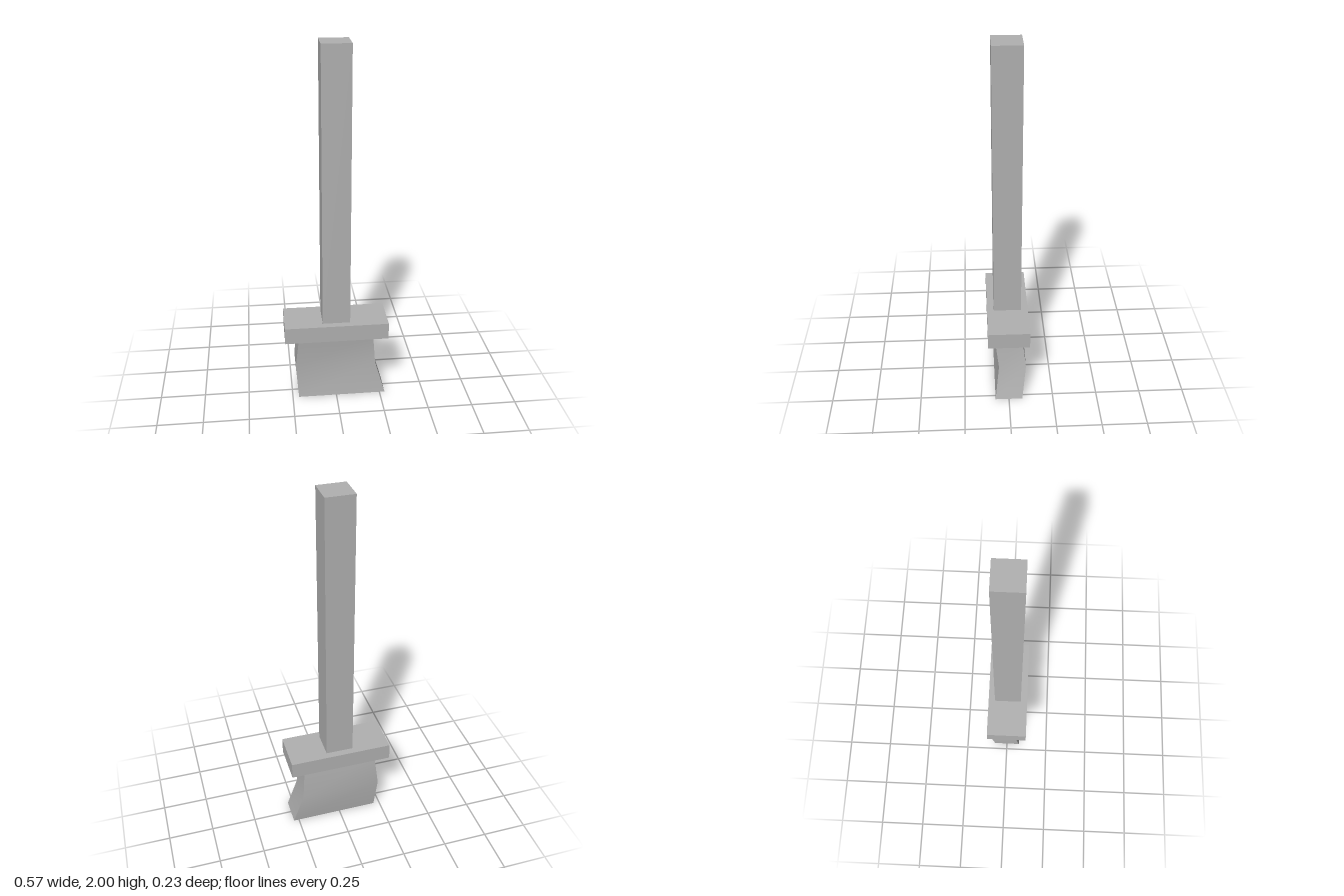
import * as THREE from 'three';

export function createModel() {
  const group = new THREE.Group();
  const grey = new THREE.MeshStandardMaterial({ color: 0xb0b0b0 });
  grey.name = 'plain grey';

  const add = (name, geometry, y) => {
    const mesh = new THREE.Mesh(geometry, grey);
    mesh.name = name;
    mesh.position.y = y;
    group.add(mesh);
  };

  // Square handle and the flat block below it
  add('handle', new THREE.BoxGeometry(0.152, 1.522, 0.152), 1.239);
  add('headBlock', new THREE.BoxGeometry(0.572, 0.094, 0.228), 0.431);

  // Bristles: a box bent backwards at mid height and flared to one side at the foot
  const height = 0.384;
  const sections = [
    { left: -0.215, right: 0.28, z: 0 },
    { left: -0.229, right: 0.224, z: -0.022 },
    { left: -0.209, right: 0.206, z: 0 },
  ];
  const bristles = new THREE.BoxGeometry(1, height, 0.152, 1, 2, 1);
  const p = bristles.attributes.position;
  for (let i = 0; i < p.count; i++) {
    const s = sections[Math.round((p.getY(i) / height + 0.5) * 2)];
    p.setX(i, p.getX(i) < 0 ? s.left : s.right);
    p.setZ(i, p.getZ(i) + s.z);
  }
  bristles.computeVertexNormals();
  add('bristles', bristles, height / 2);

  return group;
}
